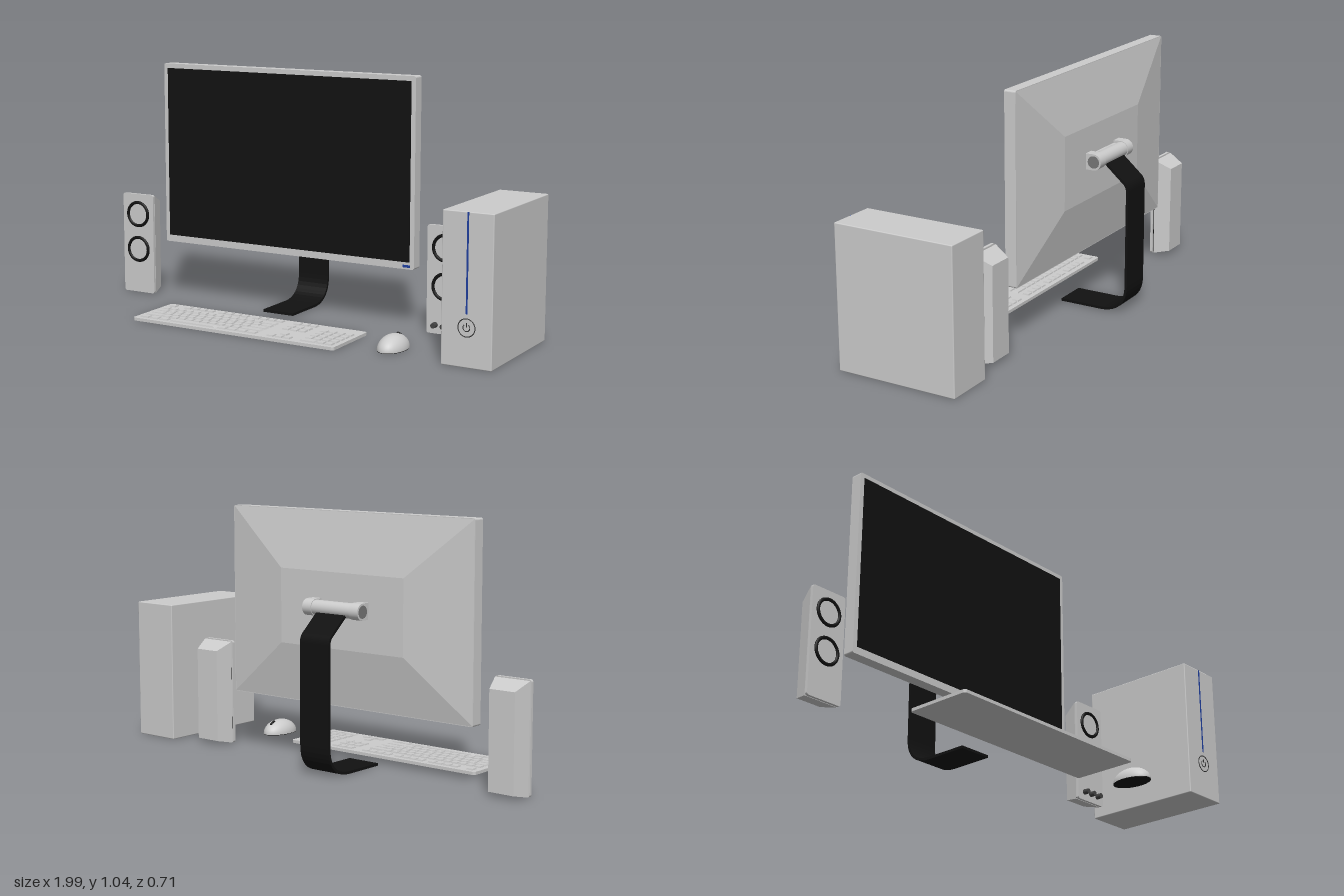
import * as THREE from 'three';
import { mergeGeometries } from 'three/addons/utils/BufferGeometryUtils.js';
import { RoundedBoxGeometry } from 'three/addons/geometries/RoundedBoxGeometry.js';

const material = (color) => new THREE.MeshStandardMaterial({ color });
const grey = material(0xcccccc);
const black = material(0x111111);
const blue = material(0x1f3f9f);

function add(parent, name, geometry, mat, x = 0, y = 0, z = 0) {
  const mesh = new THREE.Mesh(geometry, mat);
  mesh.name = name;
  mesh.position.set(x, y, z);
  parent.add(mesh);
  return mesh;
}

function group(parent, name, x = 0, y = 0, z = 0) {
  const g = new THREE.Group();
  g.name = name;
  g.position.set(x, y, z);
  parent.add(g);
  return g;
}

// Upright plate with rounded corners, from z = 0 to z = depth
function plate(w, h, depth, r) {
  const s = new THREE.Shape();
  const a = w / 2, b = h / 2;
  s.absarc(a - r, b - r, r, 0, Math.PI / 2);
  s.absarc(-a + r, b - r, r, Math.PI / 2, Math.PI);
  s.absarc(-a + r, -b + r, r, Math.PI, Math.PI * 1.5);
  s.absarc(a - r, -b + r, r, Math.PI * 1.5, Math.PI * 2);
  return new THREE.ExtrudeGeometry(s, { depth, bevelEnabled: false, curveSegments: 4 });
}

// Box whose back face is drawn in at the sides, top and bottom
function taperedBox(w, h, d, side, top, bottom) {
  const g = new THREE.BoxGeometry(w, h, d);
  const p = g.attributes.position;
  for (let i = 0; i < p.count; i++) {
    if (p.getZ(i) > 0) continue;
    p.setX(i, p.getX(i) - Math.sign(p.getX(i)) * side);
    p.setY(i, p.getY(i) + (p.getY(i) > 0 ? -top : bottom));
  }
  g.computeVertexNormals();
  return g;
}

function monitor(parent) {
  const g = group(parent, 'monitor', -0.157, 0, 0);
  add(g, 'monitorFrame', plate(1.235, 0.795, 0.05, 0.008), grey, 0, 0.6475, -0.152);
  add(g, 'monitorBack', taperedBox(1.23, 0.79, 0.044, 0.3, 0.24, 0.24), grey, 0, 0.6475, -0.174);
  add(g, 'screen', new THREE.BoxGeometry(1.195, 0.745, 0.004), black, 0, 0.6525, -0.101);
  add(g, 'statusLight', new THREE.BoxGeometry(0.032, 0.01, 0.008), blue, 0.583, 0.263, -0.102);

  // Hinge: barrel, thicker collars with dark end caps, bracket
  const hinge = group(g, 'hinge', 0, 0.66, -0.231);
  const barrel = (r, len) => new THREE.CylinderGeometry(r, r, len, 32).rotateZ(Math.PI / 2);
  add(hinge, 'hingeBarrel', barrel(0.031, 0.2), grey);
  add(hinge, 'hingeBracket', new THREE.BoxGeometry(0.19, 0.045, 0.036), grey, 0, 0, 0.018);
  for (const s of [-1, 1]) {
    add(hinge, 'hingeCollar', barrel(0.034, 0.045), grey, s * 0.12, 0, 0);
    add(hinge, 'hingeArm', new THREE.BoxGeometry(0.045, 0.068, 0.037), grey, s * 0.12, 0, 0.0185);
    add(hinge, 'hingeCap', barrel(0.026, 0.004), material(0x777777), s * 0.1415, 0, 0);
  }

  // Bent strip: centre line in (z, y), thickened along its normals
  const path = new THREE.CurvePath();
  const v = (z, y) => new THREE.Vector2(z, y);
  path.add(new THREE.LineCurve(v(-0.045, 0.007), v(-0.23, 0.007)));
  path.add(new THREE.CubicBezierCurve(v(-0.23, 0.007), v(-0.305, 0.007), v(-0.352, 0.045), v(-0.352, 0.12)));
  path.add(new THREE.LineCurve(v(-0.352, 0.12), v(-0.352, 0.53)));
  path.add(new THREE.QuadraticBezierCurve(v(-0.352, 0.53), v(-0.352, 0.557), v(-0.335, 0.57)));
  path.add(new THREE.LineCurve(v(-0.335, 0.57), v(-0.24, 0.652)));
  const outer = [], inner = [];
  for (const c of path.curves) {
    const n = c.isLineCurve ? 1 : 10;
    for (let i = 0; i <= n; i++) {
      const p = c.getPoint(i / n), t = c.getTangent(i / n);
      outer.push(v(p.x - t.y * 0.0055, p.y + t.x * 0.0055));
      inner.unshift(v(p.x + t.y * 0.0055, p.y - t.x * 0.0055));
    }
  }
  const clean = [...outer, ...inner].filter((p, i, all) => !i || p.distanceTo(all[i - 1]) > 1e-4);
  const strip = new THREE.ExtrudeGeometry(new THREE.Shape(clean), { depth: 0.148, bevelEnabled: false });
  strip.translate(0, 0, -0.074).rotateY(-Math.PI / 2);
  add(g, 'monitorStand', strip, black);
}

function speaker(parent, name, x, knobs) {
  const g = group(parent, name, x, 0, 0);
  add(g, 'speakerBody', taperedBox(0.158, 0.445, 0.07, 0.022, 0.035, 0.015), grey, 0, 0.225, -0.138);
  add(g, 'speakerGap', new THREE.BoxGeometry(0.15, 0.435, 0.006), black, 0, 0.225, -0.101);
  add(g, 'speakerFront', plate(0.163, 0.45, 0.012, 0.01), grey, 0, 0.2265, -0.098);
  for (const y of [0.2, 0.36]) {
    add(g, 'speakerRing', new THREE.TorusGeometry(0.053, 0.007, 10, 40), black, 0, y, -0.084);
    add(g, 'speakerCone', new THREE.CircleGeometry(0.05, 32), grey, 0, y, -0.084);
  }
  if (!knobs) return;
  for (const dx of [-0.042, 0, 0.042]) {
    const knob = new THREE.CylinderGeometry(0.011, 0.012, 0.024, 20).rotateX(Math.PI / 2);
    add(g, 'speakerKnob', knob, material(0x444444), dx, 0.038, -0.074);
  }
}

function tower(parent) {
  const g = group(parent, 'computerTower', 0.89, 0, 0);
  add(g, 'towerCase', new RoundedBoxGeometry(0.21, 0.597, 0.528, 2, 0.004), grey, 0, 0.2985, 0.052);
  add(g, 'lightStrip', new THREE.BoxGeometry(0.007, 0.388, 0.003), blue, 0, 0.402, 0.316);

  // Power button: outer ring, open inner arc and a short bar
  const b = group(g, 'powerButton', 0, 0.155, 0.316);
  const dark = material(0x333333);
  add(b, 'buttonRing', new THREE.TorusGeometry(0.035, 0.002, 6, 40), dark);
  const arc = new THREE.TorusGeometry(0.014, 0.0018, 6, 24, Math.PI * 1.6).rotateZ(Math.PI * 0.7);
  add(b, 'buttonArc', arc, dark);
  add(b, 'buttonBar', new THREE.BoxGeometry(0.003, 0.016, 0.003), dark, 0, 0.011, 0);
}

function keyboard(parent) {
  const g = group(parent, 'keyboard');
  const base = plate(0.97, 0.283, 0.013, 0.012).rotateX(-Math.PI / 2);
  add(g, 'keyboardBase', base, grey, -0.145, 0, 0.213);

  // Key widths in units per row; negative numbers are gaps
  const unit = 0.0385;
  const rowZ = [0.107, 0.16, 0.199, 0.238, 0.278, 0.319];
  const ones = (n) => Array(n).fill(1);
  const blocks = [
    [-0.61, [
      [1, -1, ...ones(4), -0.5, ...ones(4), -0.5, ...ones(4)],
      [...ones(13), 2],
      [1.5, ...ones(12), 1.5],
      [1.75, ...ones(11), 2.25],
      [2.25, ...ones(10), 2.75],
      [1.25, 1.25, 1.25, 6.25, 1.25, 1.25, 1.25, 1.25],
    ]],
    [0.015, [ones(3), ones(3), ones(3), [], [-1, 1], ones(3)]],
    [0.17, [[], ones(4), ones(4), ones(4), ones(4), [2, 1, 1]]],
  ];
  const keys = [];
  for (const [start, rows] of blocks) {
    rows.forEach((row, r) => {
      let x = start;
      for (const w of row) {
        const len = Math.abs(w) * unit;
        if (w > 0) {
          const key = new THREE.CylinderGeometry(0.62, 0.707, 1, 4).rotateY(Math.PI / 4).toNonIndexed();
          key.scale(len - 0.007, 0.008, 0.031).translate(x + len / 2, 0.015, rowZ[r]);
          key.computeVertexNormals();
          keys.push(key);
        }
        x += len;
      }
    });
  }
  add(g, 'keys', mergeGeometries(keys), grey);
}

function mouse(parent) {
  const g = group(parent, 'mouse', 0.527, 0, 0.205);
  const shell = new THREE.SphereGeometry(1, 36, 14, 0, Math.PI * 2, 0, Math.PI / 2).scale(0.057, 0.058, 0.09);
  add(g, 'mouseShell', shell, grey, 0, 0.002, 0);
  const sole = new THREE.CylinderGeometry(1, 1, 0.002, 36).scale(0.056, 1, 0.089);
  add(g, 'mouseSole', sole, black, 0, 0.001, 0);
  const wheel = new THREE.CapsuleGeometry(0.006, 0.022, 4, 12).rotateX(Math.PI / 2);
  add(g, 'mouseWheel', wheel, black, 0, 0.049, -0.05).rotation.x = -0.45;
}

export function createModel() {
  const model = new THREE.Group();
  model.name = 'desktopComputer';
  monitor(model);
  speaker(model, 'rightSpeaker', -0.918, false);
  speaker(model, 'leftSpeaker', 0.61, true);
  tower(model);
  keyboard(model);
  mouse(model);
  return model;
}
